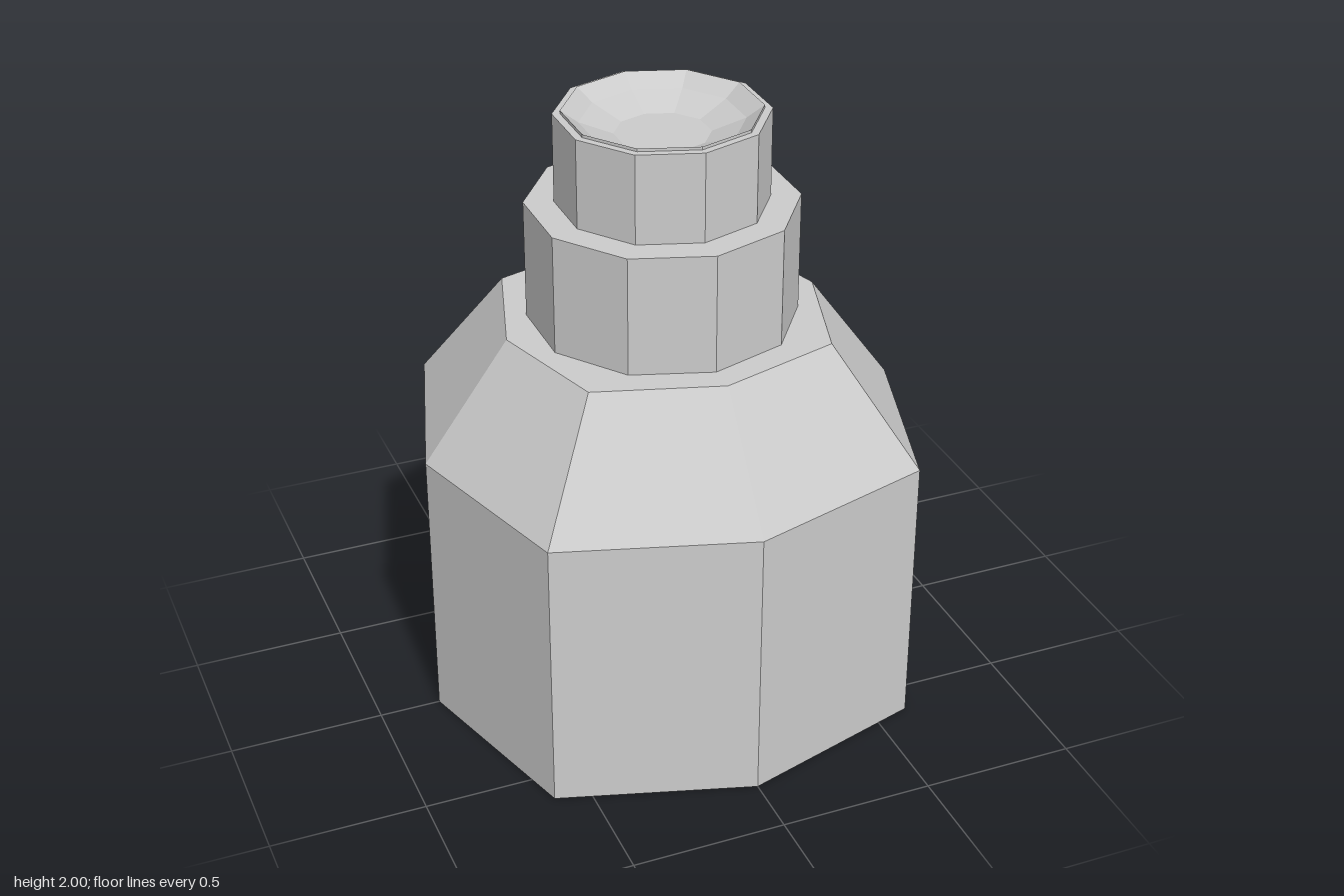
import * as THREE from 'three';

const material = new THREE.MeshStandardMaterial({ color: 0xcccccc, flatShading: true });

// Faceted turned part from a profile of [radius, height], listed bottom to top
function turned(name, profile, sides) {
  const points = profile.map(([r, y]) => new THREE.Vector2(r, y));
  const mesh = new THREE.Mesh(new THREE.LatheGeometry(points, sides), material);
  mesh.name = name;
  return mesh;
}

export function createModel() {
  const group = new THREE.Group();
  group.name = 'bottle';

  // Eight-sided body with sloping shoulder; diagonal corners pushed outward
  const body = turned('body', [[0, 0], [0.8, 0], [0.8, 0.925], [0.52, 1.31], [0, 1.31]], 8);
  const pos = body.geometry.attributes.position;
  for (let i = 0; i < pos.count; i++) {
    const x = pos.getX(i), z = pos.getZ(i);
    if (Math.abs(x) > 0.01 && Math.abs(z) > 0.01) {
      pos.setX(i, x * 1.087);
      pos.setZ(i, z * 1.087);
    }
  }
  body.geometry.computeVertexNormals();

  // Ten-sided collar and neck
  const collar = turned('collar', [[0.43, 1.31], [0.43, 1.7], [0.33, 1.7]], 10);
  const neck = turned('neck', [[0.335, 1.7], [0.335, 1.99], [0.31, 1.99]], 10);

  // Thin lip and shallow dished top
  const dish = turned('dishedTop',
    [[0.31, 1.99], [0.31, 2], [0.255, 1.96], [0.15, 1.92], [0, 1.92]], 10);

  group.add(body, collar, neck, dish);
  return group;
}
